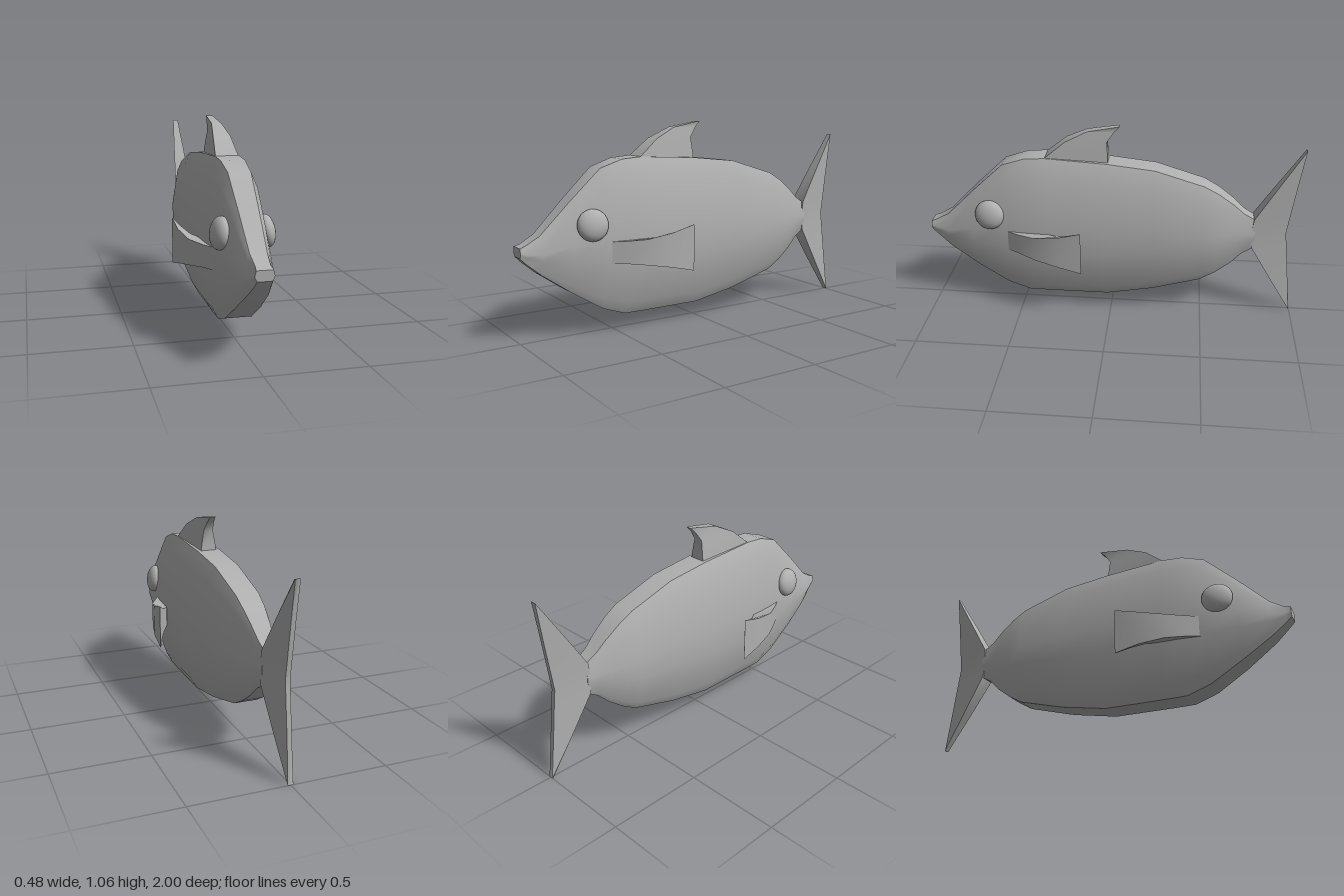
import * as THREE from 'three';
import { toCreasedNormals } from 'three/addons/utils/BufferGeometryUtils.js';

const grey = new THREE.MeshStandardMaterial({ color: 0xb0b0b0 });
grey.name = 'plain grey';

// Skins a row of equal-length closed rings, caps both ends and faces outward.
function loft(name, rings, crease = 0.75) {
  const n = rings[0].length;
  const points = rings.flat();
  const index = [];
  for (let i = 0; i < rings.length - 1; i++) {
    for (let j = 0; j < n; j++) {
      const a = i * n + j, b = i * n + (j + 1) % n;
      index.push(a, b, b + n, a, b + n, a + n);
    }
  }
  const last = (rings.length - 1) * n;
  for (let j = 1; j < n - 1; j++) {
    index.push(0, j + 1, j, last, last + j, last + j + 1);
  }
  // Signed volume tells whether the winding must be turned round
  let volume = 0;
  const v = points.map((p) => new THREE.Vector3(...p));
  for (let i = 0; i < index.length; i += 3) {
    volume += v[index[i]].dot(v[index[i + 1]].clone().cross(v[index[i + 2]]));
  }
  if (volume < 0) index.reverse();
  const geometry = new THREE.BufferGeometry();
  geometry.setAttribute('position', new THREE.Float32BufferAttribute(points.flat(), 3));
  geometry.setIndex(index);
  const mesh = new THREE.Mesh(toCreasedNormals(geometry, crease), grey);
  mesh.name = name;
  return mesh;
}

// Body: z, top, bottom, half width, top flat half width, bottom flat half width
function body() {
  const stations = [
    [1.0, 0.48, 0.43, 0.045, 0.04, 0.036],
    [0.97, 0.49, 0.4, 0.05, 0.035, 0.038],
    [0.9, 0.53, 0.34, 0.072, 0.04, 0.05],
    [0.75, 0.68, 0.235, 0.1, 0.048, 0.062],
    [0.58, 0.84, 0.13, 0.122, 0.056, 0.068],
    [0.46, 0.88, 0.088, 0.136, 0.06, 0.07],
    [0.35, 0.888, 0.086, 0.142, 0.062, 0.07],
    [0.02, 0.868, 0.086, 0.14, 0.062, 0.07],
    [-0.23, 0.84, 0.13, 0.132, 0.062, 0.068],
    [-0.49, 0.76, 0.2, 0.118, 0.06, 0.062],
    [-0.57, 0.715, 0.245, 0.102, 0.056, 0.056],
    [-0.65, 0.655, 0.305, 0.08, 0.048, 0.048],
    [-0.71, 0.6, 0.365, 0.064, 0.04, 0.04],
    [-0.77, 0.565, 0.4, 0.048, 0.034, 0.034],
  ];
  const rings = stations.map(([z, top, bottom, w, t, b]) => {
    const h = top - bottom;
    const half = [
      [b, bottom],
      [Math.max(b, w * 0.76), bottom + h * 0.08],
      [w, bottom + h * 0.36],
      [w, bottom + h * 0.54],
      [Math.max(t, w * 0.74), top - h * 0.11],
      [t, top],
    ];
    const mirrored = half.map(([x, y]) => [-x, y]).reverse();
    return [...half, ...mirrored].map(([x, y]) => [x, y, z]);
  });
  return loft('body', rings);
}

// Upright fin from rows of: y, front z, back z, front half width, back half width
function uprightFin(name, rows) {
  return loft(name, rows.map(([y, front, back, f, b]) => [
    [f, y, front], [b, y, back], [-b, y, back], [-f, y, front],
  ]));
}

// Side fin from stations of: outer x, outer z, inner x, inner z, bottom, top
function sideFin(name, side) {
  const stations = [
    [0.1, 0.6, 0.1, 0.31, 0.37, 0.48],
    [0.155, 0.5, 0.143, 0.325, 0.368, 0.481],
    [0.205, 0.4, 0.172, 0.28, 0.357, 0.488],
    [0.234, 0.27, 0.205, 0.22, 0.335, 0.513],
    [0.24, 0.145, 0.237, 0.147, 0.305, 0.545],
  ];
  return loft(name, stations.map(([ox, oz, ix, iz, bottom, top]) => [
    [side * ox, bottom, oz], [side * ox, top, oz],
    [side * ix, top, iz], [side * ix, bottom, iz],
  ]));
}

export function createModel() {
  const fish = new THREE.Group();
  fish.name = 'fish';
  fish.add(body());

  // Swept-back fin on the back
  fish.add(uprightFin('dorsalFin', [
    [0.84, 0.39, 0.02, 0.062, 0.045],
    [0.888, 0.35, 0.02, 0.058, 0.04],
    [0.975, 0.245, 0.026, 0.045, 0.026],
    [1.03, 0.13, -0.012, 0.026, 0.018],
    [1.058, -0.03, -0.04, 0.017, 0.015],
  ]));

  // Forked tail, thick at its leading edge
  fish.add(uprightFin('tailFin', [
    [0.0, -0.998, -1.0, 0.015, 0.012],
    [0.2, -0.878, -0.974, 0.032, 0.012],
    [0.4, -0.76, -0.949, 0.047, 0.012],
    [0.483, -0.75, -0.938, 0.048, 0.012],
    [0.57, -0.76, -0.949, 0.047, 0.012],
    [0.765, -0.878, -0.974, 0.032, 0.012],
    [0.96, -0.998, -1.0, 0.015, 0.012],
  ]));

  // Paired fins and eyes
  for (const [label, side] of [['left', 1], ['right', -1]]) {
    fish.add(sideFin(label + 'SideFin', side));
    const eye = new THREE.Mesh(new THREE.SphereGeometry(0.08, 24, 16), grey);
    eye.name = label + 'Eye';
    eye.scale.x = 0.55;
    eye.position.set(side * 0.111, 0.57, 0.652);
    eye.rotation.set(0, -side * 0.12, side * 0.15);
    fish.add(eye);
  }
  return fish;
}
